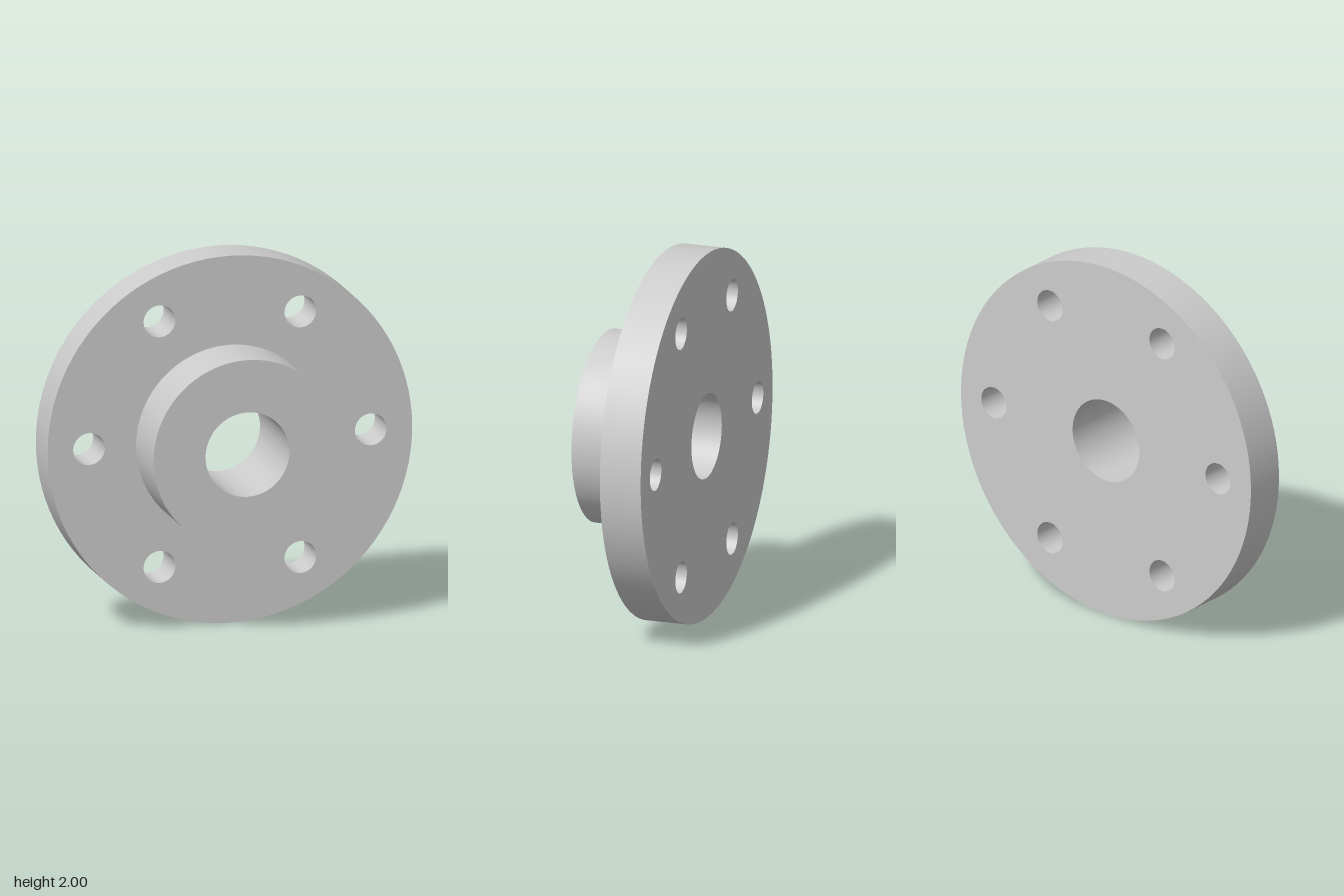
import * as THREE from 'three';

const SEGMENTS = 96;
const OUTER = 1, HUB = 0.515, BORE = 0.23;
const BOLT = 0.087, BOLT_CIRCLE = 0.773, BOLT_COUNT = 6;
const BACK = -0.285, STEP = -0.055, FRONT = 0.285;

export function createModel() {
  const group = new THREE.Group();
  group.name = 'boltedFlange';
  const material = new THREE.MeshStandardMaterial({ color: 0xcccccc });

  const add = (name, geometry) => {
    const mesh = new THREE.Mesh(geometry, material);
    mesh.name = name;
    mesh.position.y = 1;
    group.add(mesh);
    return mesh;
  };

  // Open round wall along z; running from high z to low z makes it face inward
  const wall = (name, radius, z0, z1) => {
    const profile = [new THREE.Vector2(radius, z0), new THREE.Vector2(radius, z1)];
    return add(name, new THREE.LatheGeometry(profile, SEGMENTS).rotateX(Math.PI / 2));
  };

  const boltCentres = Array.from({ length: BOLT_COUNT }, (_, i) => {
    const a = (i / BOLT_COUNT) * Math.PI * 2;
    return [BOLT_CIRCLE * Math.cos(a), BOLT_CIRCLE * Math.sin(a)];
  });

  // Flat round face, with a central opening and optional bolt holes
  const face = (name, radius, opening, z, bolts) => {
    const shape = new THREE.Shape().absarc(0, 0, radius, 0, Math.PI * 2);
    const cut = (x, y, r) => shape.holes.push(new THREE.Path().absarc(x, y, r, 0, Math.PI * 2, true));
    cut(0, 0, opening);
    if (bolts) boltCentres.forEach(([x, y]) => cut(x, y, BOLT));
    const mesh = add(name, new THREE.ShapeGeometry(shape, SEGMENTS / 2));
    mesh.position.z = z;
    return mesh;
  };

  // Plate
  wall('plateRim', OUTER, BACK, STEP);
  face('plateFront', OUTER, HUB, STEP, true);
  face('plateBack', OUTER, BORE, BACK, true).rotation.y = Math.PI;

  // Hub and through bore
  wall('hubSide', HUB, STEP, FRONT);
  face('hubFront', HUB, BORE, FRONT, false);
  wall('bore', BORE, FRONT, BACK);

  // Bolt holes
  boltCentres.forEach(([x, y], i) => {
    const hole = wall(`boltHole${i + 1}`, BOLT, STEP, BACK);
    hole.position.set(x, 1 + y, 0);
  });

  return group;
}
